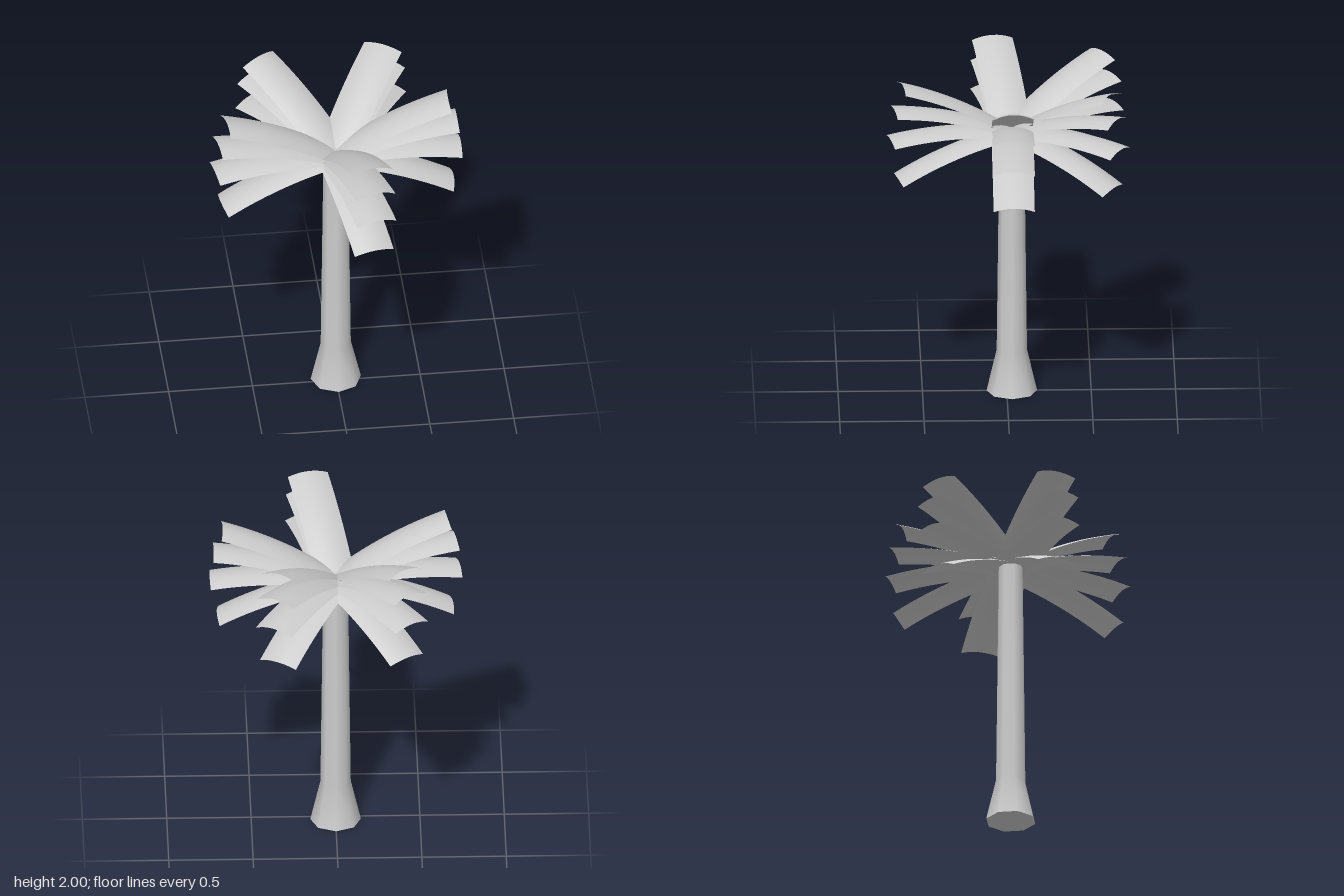
import * as THREE from 'three';

const CENTRE_Z = -0.03;   // trunk axis
const CROWN_Y = 1.67;     // height where the fronds meet
const LENGTH = 0.747, HALF_WIDTH = 0.122, SAG = 0.03, DROOP = 0.03;

// Frond blade along +x: arched along its length and across its width
function frondGeometry(tilt) {
  const geo = new THREE.PlaneGeometry(1, 2, 12, 8);
  geo.rotateX(-Math.PI / 2);
  const p = geo.attributes.position;
  for (let i = 0; i < p.count; i++) {
    const u = p.getX(i) + 0.5, w = p.getZ(i);
    const slope = Math.atan(4 * SAG * (1 - 2 * u) / LENGTH);
    const drop = DROOP * w * w;
    p.setXYZ(i,
      0.012 + (LENGTH - 0.012) * u + Math.sin(slope) * drop,
      4 * SAG * u * (1 - u) - Math.cos(slope) * drop,
      w * HALF_WIDTH);
  }
  geo.rotateZ(tilt);
  geo.computeVertexNormals();
  return geo;
}

export function createModel() {
  const group = new THREE.Group();
  const bark = new THREE.MeshStandardMaterial({ color: 0xcccccc });
  const leaf = new THREE.MeshStandardMaterial({ color: 0xcccccc, side: THREE.DoubleSide });

  // Tapered trunk with a flared foot
  const profile = [[0.15, 0], [0.09, 0.26], [0.073, 1.66]].map(([r, y]) => new THREE.Vector2(r, y));
  const trunk = new THREE.Mesh(new THREE.LatheGeometry(profile, 8), bark);
  trunk.name = 'trunk';
  trunk.position.z = CENTRE_Z;
  group.add(trunk);

  // Flat ends of the trunk
  for (const [name, radius, y, turn] of [['trunkBottom', 0.15, 0, 1], ['trunkTop', 0.073, 1.66, -1]]) {
    const cap = new THREE.Mesh(new THREE.CircleGeometry(radius, 8), bark);
    cap.name = name;
    cap.rotation.x = turn * Math.PI / 2;
    cap.position.set(0, y, CENTRE_Z);
    group.add(cap);
  }

  // Four tiers of fronds, fanned out in five directions
  const tiers = [26.4, 14.5, 0, -19.4].map(d => frondGeometry(THREE.MathUtils.degToRad(d)));
  for (const heading of [0, 59, 126.3, 188.7, 282.7]) {
    const fan = new THREE.Group();
    fan.name = 'frondFan';
    fan.position.set(0, CROWN_Y, CENTRE_Z);
    fan.rotation.y = THREE.MathUtils.degToRad(heading);
    tiers.forEach((geo, i) => {
      const frond = new THREE.Mesh(geo, leaf);
      frond.name = `frondTier${i + 1}`;
      fan.add(frond);
    });
    group.add(fan);
  }
  return group;
}
